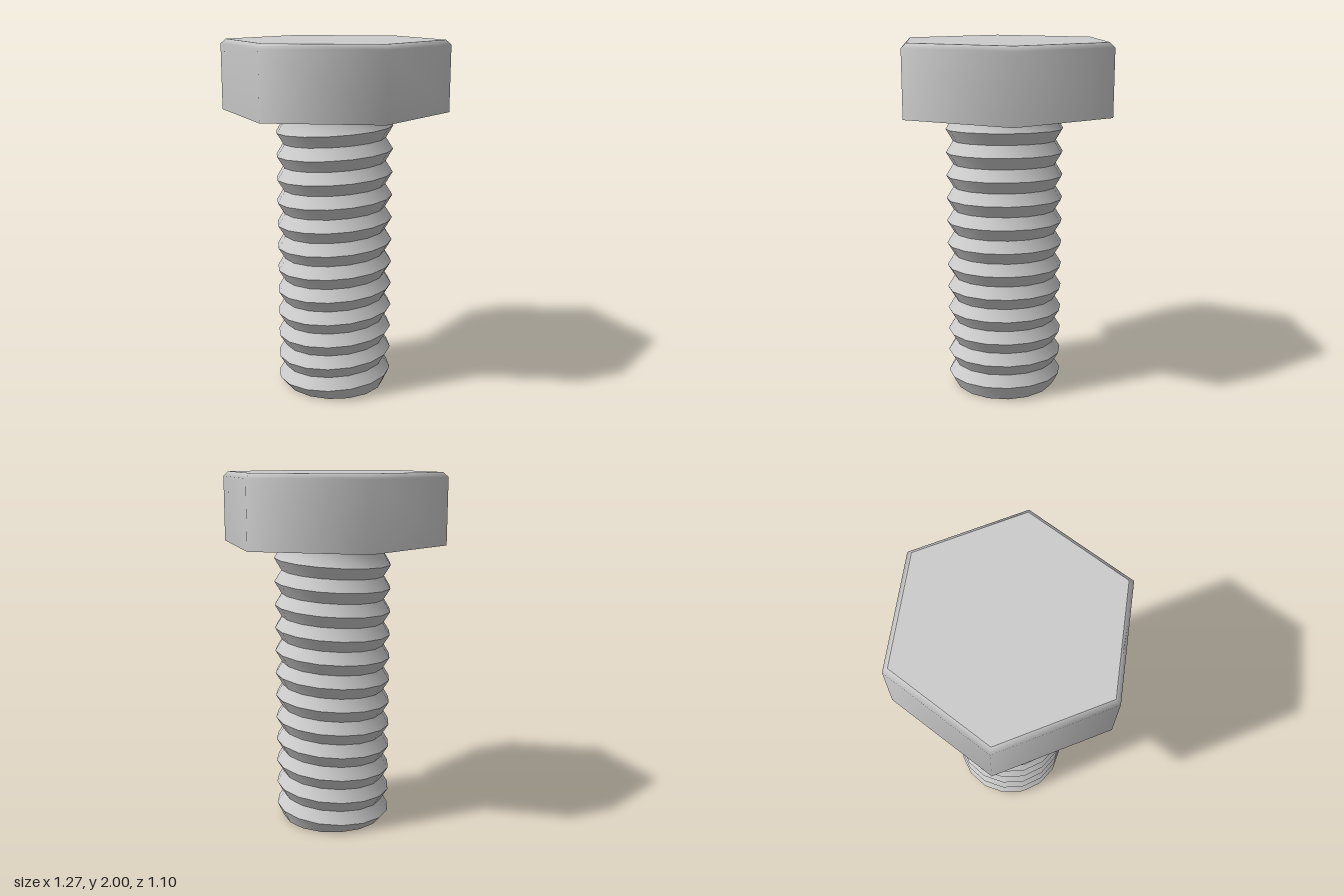
import * as THREE from 'three';
import { toCreasedNormals } from 'three/addons/utils/BufferGeometryUtils.js';

const material = new THREE.MeshStandardMaterial({ color: 0xcccccc });

function addMesh(parent, name, geometry) {
  const mesh = new THREE.Mesh(geometry, material);
  mesh.name = name;
  parent.add(mesh);
  return mesh;
}

// Hexagonal head with softly shaded sides and a chamfered top rim
function createHead() {
  const head = new THREE.Group();
  head.name = 'head';
  const bottom = 1.61, top = 2, radius = 0.635, topRadius = 0.605;
  const profile = [[radius, bottom], [radius, 1.974], [topRadius, top]]
    .map(([r, y]) => new THREE.Vector2(r, y));
  addMesh(head, 'headSides', new THREE.LatheGeometry(profile, 6, Math.PI / 2));
  addMesh(head, 'headTop', new THREE.CircleGeometry(topRadius, 6).rotateX(-Math.PI / 2)).position.y = top;
  addMesh(head, 'headUnderside', new THREE.CircleGeometry(radius, 6).rotateX(Math.PI / 2)).position.y = bottom;
  return head;
}

// Shank with twelve slightly tilted V-shaped thread ridges
function createShank() {
  const ridges = 12, pitch = 0.1316, root = 0.29, crest = 0.33;
  const tilt = 0.062, neckTop = 1.62;
  const profile = [new THREE.Vector2(0, 0), new THREE.Vector2(root, 0)];
  for (let i = 0; i < ridges; i++) {
    profile.push(new THREE.Vector2(crest, (i + 0.5) * pitch));
    profile.push(new THREE.Vector2(root, (i + 1) * pitch));
  }
  profile.push(new THREE.Vector2(root, neckTop));
  const geometry = new THREE.LatheGeometry(profile, 16);

  // Tilt every thread ring, keeping both ends of the shank level
  const position = geometry.attributes.position;
  for (let i = 0; i < position.count; i++) {
    const y = position.getY(i);
    if (y > 0.001 && y < neckTop - 0.001) position.setY(i, y + tilt * position.getX(i));
  }
  return toCreasedNormals(geometry, 0.75);
}

export function createModel() {
  const bolt = new THREE.Group();
  bolt.name = 'hexBolt';
  bolt.add(createHead());
  addMesh(bolt, 'threadedShank', createShank());
  return bolt;
}
